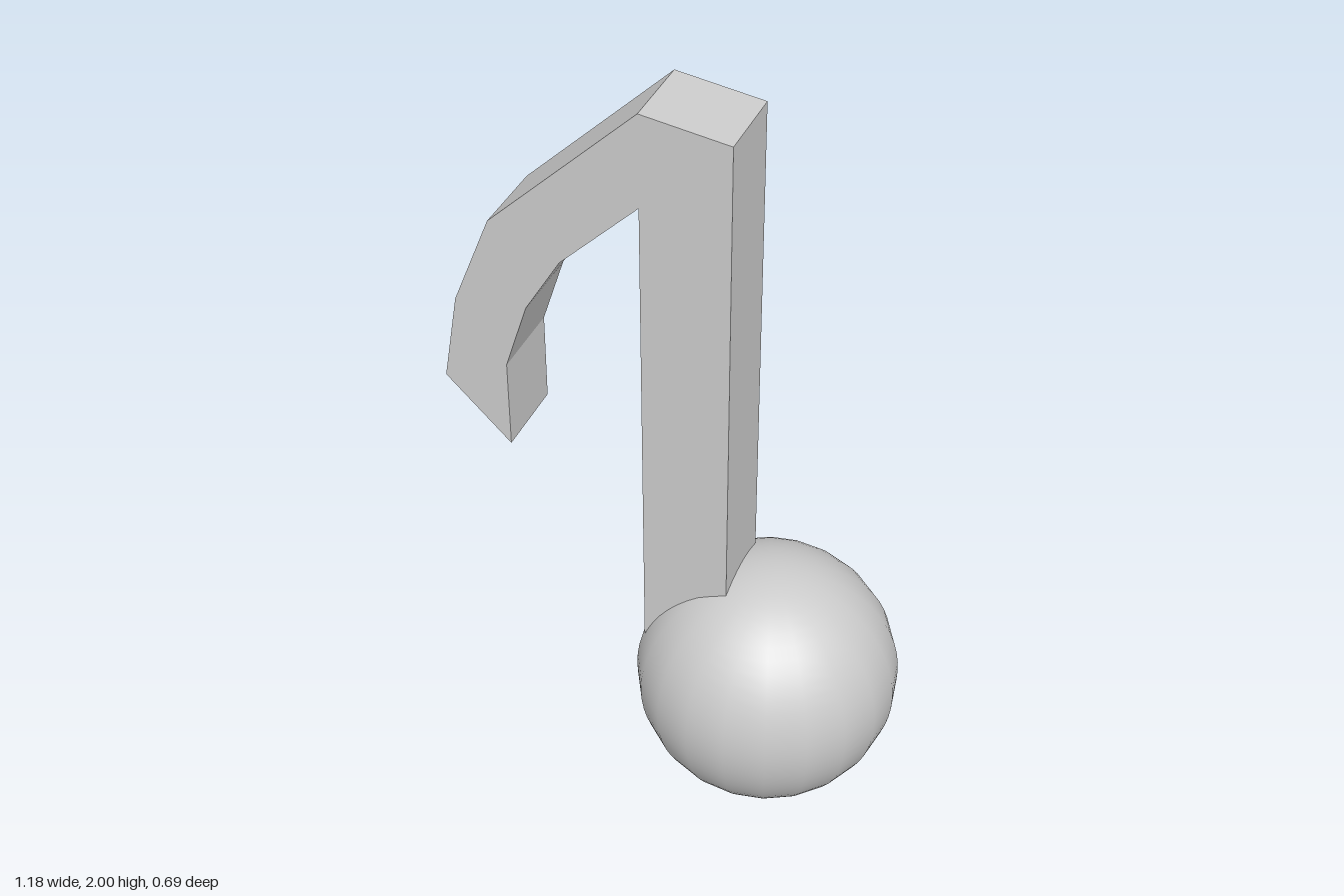
import * as THREE from 'three';

export function createModel() {
  const group = new THREE.Group();
  group.name = 'musicalNote';
  const grey = new THREE.MeshStandardMaterial({ color: 0xcccccc });

  // Round note head
  const head = new THREE.Mesh(new THREE.SphereGeometry(0.347, 20, 32), grey);
  head.name = 'noteHead';
  head.position.set(0.24, 0.35, 0);
  group.add(head);

  // Stem with the angular flag, one flat outline given thickness
  const outline = [
    [-0.065, 2.0], [-0.45, 1.645], [-0.55, 1.405], [-0.592, 1.17],
    [-0.422, 1.0], [-0.422, 1.24], [-0.362, 1.42], [-0.268, 1.57],
    [-0.065, 1.76], [-0.065, 0.35], [0.16, 0.35], [0.16, 1.962],
  ].map(([x, y]) => new THREE.Vector2(x, y));
  const depth = 0.226;
  const geometry = new THREE.ExtrudeGeometry(new THREE.Shape(outline), { depth, bevelEnabled: false });
  geometry.translate(0, 0, -depth / 2);
  const stem = new THREE.Mesh(geometry, grey);
  stem.name = 'stemAndFlag';
  group.add(stem);

  return group;
}
